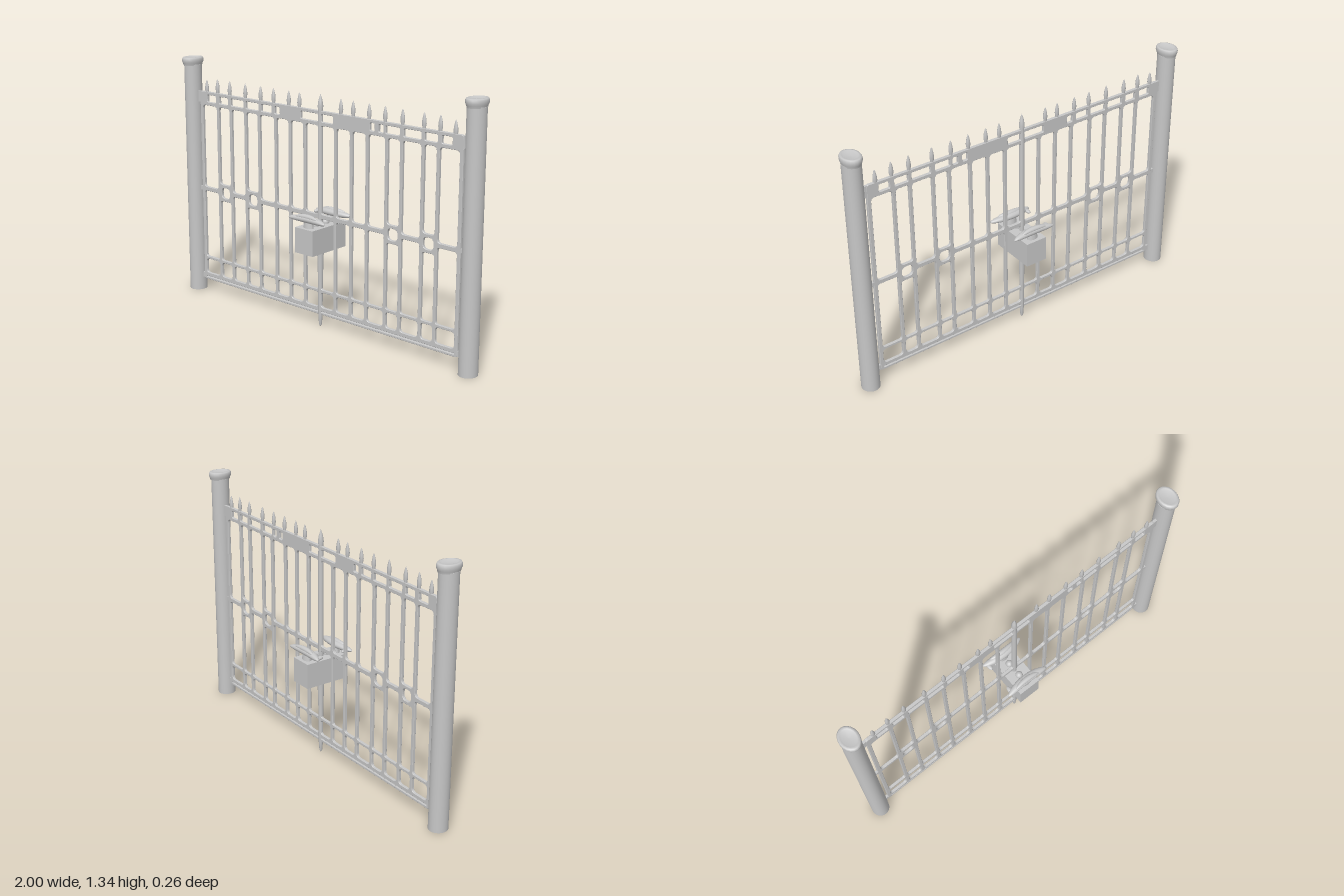
import * as THREE from 'three';

const iron = new THREE.MeshStandardMaterial({ color: 0xc6c6c6 });
iron.name = 'grey iron';

function part(parent, name, geometry, x = 0, y = 0, z = 0) {
  const mesh = new THREE.Mesh(geometry, iron);
  mesh.name = name;
  mesh.position.set(x, y, z);
  parent.add(mesh);
  return mesh;
}

const lathe = (points, sides) =>
  new THREE.LatheGeometry(points.map(([r, y]) => new THREE.Vector2(r, y)), sides);

// Rounded rectangle traced into a Shape or Path
function roundRect(path, x0, y0, x1, y1, radius) {
  const r = Math.min(radius, (x1 - x0) / 2 - 0.001, (y1 - y0) / 2 - 0.001);
  path.moveTo(x0 + r, y0);
  path.lineTo(x1 - r, y0);
  path.quadraticCurveTo(x1, y0, x1, y0 + r);
  path.lineTo(x1, y1 - r);
  path.quadraticCurveTo(x1, y1, x1 - r, y1);
  path.lineTo(x0 + r, y1);
  path.quadraticCurveTo(x0, y1, x0, y1 - r);
  path.lineTo(x0, y0 + r);
  path.quadraticCurveTo(x0, y0, x0 + r, y0);
  return path;
}

const bars = [-0.877, -0.75, -0.65, -0.537, -0.435, -0.313, -0.21, -0.105, 0,
  0.105, 0.21, 0.313, 0.435, 0.527, 0.655, 0.745, 0.877];
const finials = [-0.84, -0.755, -0.66, -0.54, -0.425, -0.33, -0.22, -0.145,
  0.137, 0.217, 0.32, 0.42, 0.527, 0.655, 0.75, 0.837];
const ringCells = [1, 3, 12, 14];

// Railing: one plate pierced by rounded openings, leaving bars, rails and rings
function railing() {
  const shape = roundRect(new THREE.Shape(), -0.888, 0.07, 0.888, 1.158, 0.015);
  const hole = (...box) => shape.holes.push(roundRect(new THREE.Path(), ...box));
  for (let i = 0; i < bars.length - 1; i++) {
    const a = bars[i] + 0.009, b = bars[i + 1] - 0.009;
    const ring = ringCells.includes(i);
    hole(a, 0.11, b, 0.193, 0.02);
    hole(a, 0.208, b, ring ? 0.555 : 0.594, 0.015);
    hole(a, ring ? 0.65 : 0.617, b, 1.082, 0.02);
    if (ring) {
      const c = (a + b) / 2;
      hole(c - 0.031, 0.572, c + 0.031, 0.633, 0.025);
    }
  }
  // Slot along the bottom rail
  hole(-0.87, 0.083, 0.87, 0.089, 0.002);
  // Openings in the top band
  for (const [a, b] of [[-0.83, -0.765], [-0.735, -0.67], [-0.645, -0.55], [-0.53, -0.435],
    [-0.415, -0.34], [-0.315, -0.28], [-0.13, -0.012], [0.012, 0.09], [0.33, 0.36],
    [0.385, 0.415], [0.43, 0.515], [0.54, 0.645], [0.665, 0.74], [0.765, 0.825]]) {
    hole(a, 1.101, b, 1.141, 0.008);
  }
  const geometry = new THREE.ExtrudeGeometry(shape, {
    depth: 0.012, curveSegments: 5, bevelEnabled: true,
    bevelSize: 0.002, bevelThickness: 0.002, bevelOffset: -0.002, bevelSegments: 1,
  });
  return geometry.translate(0, 0, -0.006);
}

// Bent, tapering lever
function lever() {
  const geometry = new THREE.SphereGeometry(1, 20, 10).rotateZ(Math.PI / 2);
  const p = geometry.attributes.position;
  for (let i = 0; i < p.count; i++) {
    const x = p.getX(i);
    p.setXYZ(i, x * 0.125, p.getY(i) * 0.019 + 0.005 * (1 - x * x),
      p.getZ(i) * 0.025 + 0.014 * x * x);
  }
  geometry.computeVertexNormals();
  return geometry;
}

export function createModel() {
  const model = new THREE.Group();
  model.name = 'gate';

  // Posts with dished caps, and the tabs that hold the railing
  for (const side of [-1, 1]) {
    const post = new THREE.Group();
    post.name = side > 0 ? 'leftPost' : 'rightPost';
    post.position.x = side * 0.95;
    model.add(post);
    part(post, 'shaft', new THREE.CylinderGeometry(0.047, 0.048, 1.3, 24), 0, 0.65).scale.z = 1.05;
    part(post, 'cap', lathe([[0.044, 1.295], [0.046, 1.306], [0.05, 1.316], [0.05, 1.33],
      [0.046, 1.338], [0.036, 1.34], [0.031, 1.333], [0, 1.332]], 20)).scale.z = 1.3;
    for (const [y, h] of [[0.09, 0.03], [0.605, 0.022], [1.125, 0.06]]) {
      part(model, 'hingeTab', new THREE.BoxGeometry(0.04, h, 0.014), side * 0.896, y);
    }
  }

  part(model, 'railing', railing());

  // Spear points along the top rail
  const spear = lathe([[0.009, 1.14], [0.01, 1.165], [0.013, 1.18], [0.011, 1.2], [0.005, 1.225], [0, 1.235]], 8);
  finials.forEach((x, i) => {
    const tip = part(model, 'finial', spear, x);
    tip.scale.z = 0.75;
    if (i === 0 || i === finials.length - 1) tip.position.y = -0.012;
  });

  // Centre bar and drop bolt
  part(model, 'centreBar', lathe([[0.013, 0.55], [0.014, 0.62], [0.014, 1.1],
    [0.012, 1.16], [0.015, 1.18], [0.011, 1.21], [0, 1.245]], 10));
  part(model, 'dropBolt', lathe([[0, 0], [0.008, 0.012], [0.012, 0.07], [0.012, 0.1],
    [0.013, 0.25], [0.017, 0.39], [0.02, 0.435]], 10));

  // Lock case through the gate, with a lever on each face
  part(model, 'lockCase', new THREE.BoxGeometry(0.122, 0.135, 0.256), 0, 0.495);
  const leverShape = lever();
  const stem = new THREE.CylinderGeometry(0.016, 0.022, 0.05, 10);
  const collar = new THREE.SphereGeometry(0.02, 12, 8);
  const hook = new THREE.SphereGeometry(0.016, 10, 8);
  for (const side of [1, -1]) {
    const handle = new THREE.Group();
    handle.name = side > 0 ? 'frontHandle' : 'backHandle';
    handle.rotation.y = side > 0 ? 0 : Math.PI;
    model.add(handle);
    part(handle, 'lever', leverShape, 0, 0.602, 0.092);
    part(handle, 'leverRib', leverShape, 0, 0.617, 0.098).scale.set(0.6, 0.7, 0.6);
    part(handle, 'stem', stem, 0, 0.578, 0.09).scale.x = 1.5;
    part(handle, 'collar', collar, 0, 0.567, 0.04);
    part(handle, 'leverHook', hook, side * -0.098, 0.6, 0.086).scale.set(0.8, 0.6, 1.7);
  }

  return model;
}
